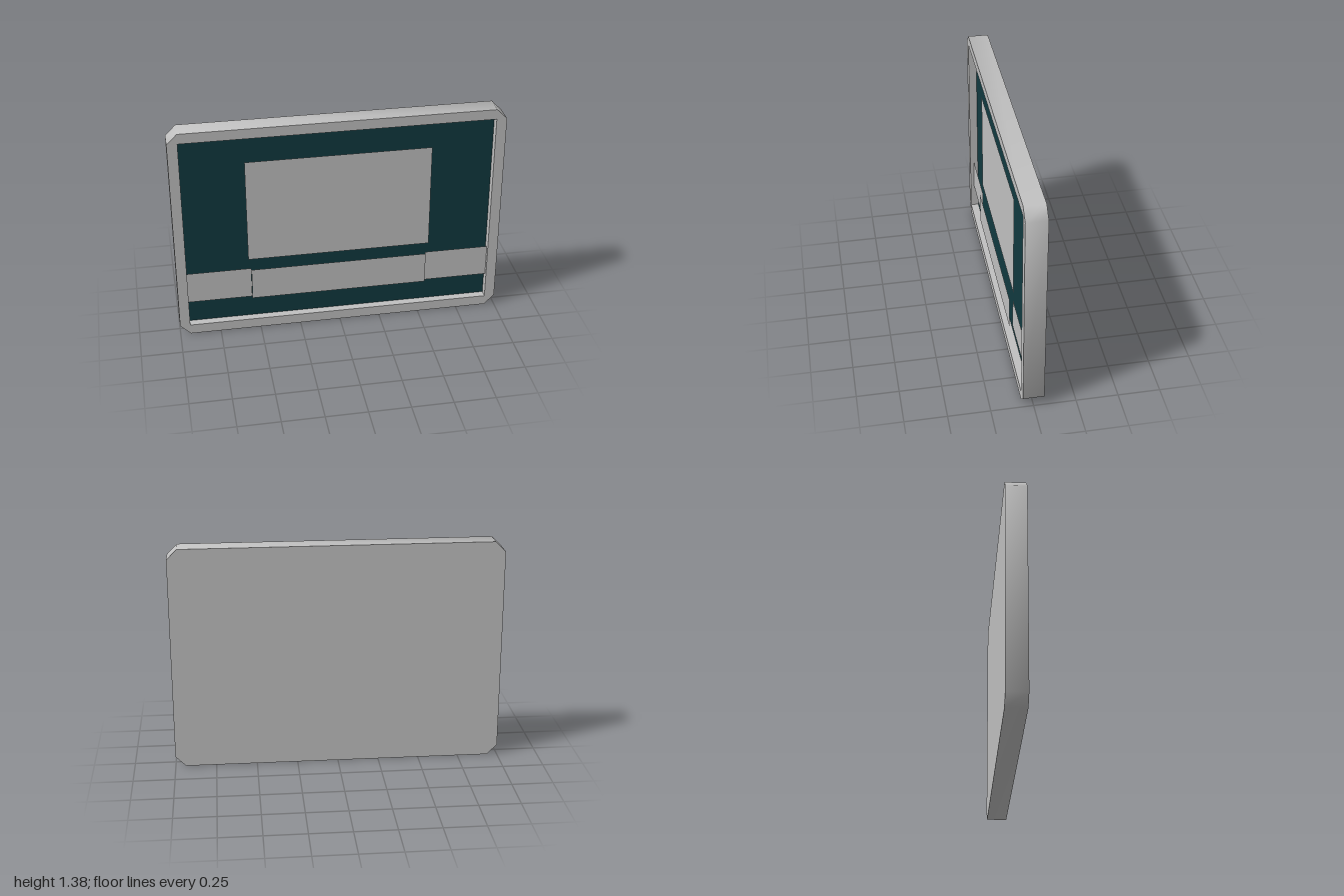
import * as THREE from 'three';
import { toCreasedNormals } from 'three/addons/utils/BufferGeometryUtils.js';

const W = 2, H = 1.376, D = 0.125;      // overall size
const RIM = 0.0625;                     // rim width and corner cut
const FRONT = D / 2;

export function createModel() {
  const group = new THREE.Group();
  const casing = new THREE.MeshStandardMaterial({ color: 0xc0c0c0 });
  casing.name = 'casingGrey';
  const teal = new THREE.MeshStandardMaterial({ color: 0x11393f });
  teal.name = 'darkTeal';
  const plateGrey = casing.clone();
  plateGrey.name = 'plateGrey';
  plateGrey.side = THREE.DoubleSide;

  const add = (name, geometry, material, x, y, z) => {
    const mesh = new THREE.Mesh(geometry, material);
    mesh.name = name;
    mesh.position.set(x, y, z);
    group.add(mesh);
  };

  // Rim: cut-corner outline with a rectangular opening, softly shaded round the corners
  const x = W / 2, c = RIM, ix = x - c;
  const points = (list) => list.map(([px, py]) => new THREE.Vector2(px, py));
  const outline = new THREE.Shape(points([
    [-ix, 0], [ix, 0], [x, c], [x, H - c], [ix, H], [-ix, H], [-x, H - c], [-x, c],
  ]));
  outline.holes.push(new THREE.Path(points([
    [-ix, c], [-ix, H - c], [ix, H - c], [ix, c],
  ])));
  const rim = new THREE.ExtrudeGeometry(outline, { depth: D, bevelEnabled: false });
  add('rim', toCreasedNormals(rim, 0.9), casing, 0, 0, -FRONT);

  // Back filling the opening, and the recessed front panel
  const innerW = W - 2 * c, innerH = H - 2 * c;
  add('back', new THREE.BoxGeometry(innerW, innerH, 0.06), casing, 0, H / 2, -FRONT + 0.03);
  add('recessedPanel', new THREE.PlaneGeometry(innerW, innerH), teal, 0, H / 2, 0.013);

  // Flat plates standing just in front of the panel: [name, left, right, bottom, top, z]
  const plates = [
    ['screen', -0.56, 0.56, 0.485, 1.15, 0.04],
    ['rightBand', -ix, -0.545, 0.217, 0.421, 0.04],
    ['leftBand', 0.54, ix, 0.217, 0.421, 0.04],
    ['middleBand', -0.545, 0.54, 0.217, 0.421, 0.06],
  ];
  for (const [name, l, r, b, t, z] of plates) {
    add(name, new THREE.PlaneGeometry(r - l, t - b), plateGrey, (l + r) / 2, (b + t) / 2, z);
  }
  return group;
}
